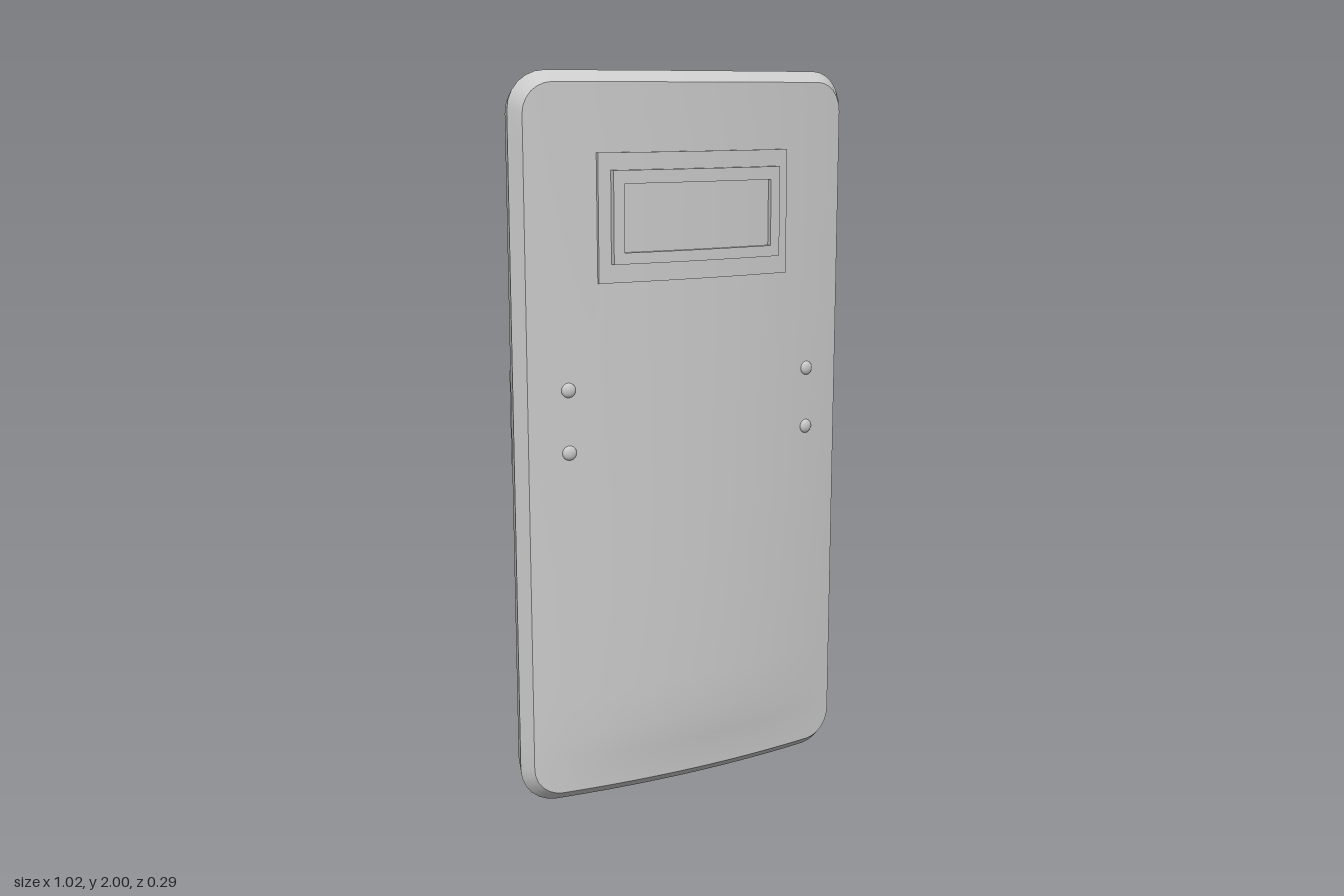
import * as THREE from 'three';
import { toCreasedNormals } from 'three/addons/utils/BufferGeometryUtils.js';

const CURVE = 0.17; // how strongly everything wraps around the vertical axis
const bend = (x, k = CURVE) => -k * x * x;

// Rounded rectangle as a counter-clockwise list of [x, y]; same count for every size
function loop(hw, y0, y1, r) {
  const corners = [[hw - r, y0 + r, -90], [hw - r, y1 - r, 0], [r - hw, y1 - r, 90], [r - hw, y0 + r, 180]];
  const arcs = corners.map(([cx, cy, start]) => Array.from({ length: 7 }, (_, i) => {
    const a = THREE.MathUtils.degToRad(start + i * 15);
    return [cx + r * Math.cos(a), cy + r * Math.sin(a)];
  }));
  const points = [];
  arcs.forEach((arc, c) => {
    points.push(...arc);
    const from = arc[6], to = arcs[(c + 1) % 4][0], n = c % 2 ? 16 : 20;
    for (let i = 1; i < n; i++) {
      points.push([THREE.MathUtils.lerp(from[0], to[0], i / n), THREE.MathUtils.lerp(from[1], to[1], i / n)]);
    }
  });
  return points;
}

// Skin over rings of [x, y, z]; the last ring joins the first
function loft(rings, crease = 0.45) {
  const n = rings[0].length, index = [];
  rings.forEach((_, j) => {
    const next = (j + 1) % rings.length;
    for (let i = 0; i < n; i++) {
      const k = (i + 1) % n;
      const a = j * n + i, b = j * n + k, c = next * n + k, d = next * n + i;
      index.push(a, b, c, a, c, d);
    }
  });
  const geometry = new THREE.BufferGeometry();
  geometry.setAttribute('position', new THREE.Float32BufferAttribute(rings.flat(2), 3));
  geometry.setIndex(index);
  return toCreasedNormals(geometry, crease);
}

const atDepth = (points, z) => points.map(([x, y]) => [x, y, z + bend(x)]);
const mix = (a, b, t) => a.map((p, i) => [p[0] + (b[i][0] - p[0]) * t, p[1] + (b[i][1] - p[1]) * t]);

// Front face swells slightly, most of all near the bottom
function frontZ(x, y) {
  const swell = y < 0.22
    ? THREE.MathUtils.smoothstep(y, 0.03, 0.22)
    : 1 - THREE.MathUtils.smoothstep(y, 0.22, 1.95);
  return 0.115 + bend(x) + 0.018 * swell * Math.max(0, 1 - (x / 0.485) ** 2);
}

function bodyGeometry() {
  const hole = loop(0.275, 1.46, 1.78, 0);
  const back = loop(0.49, 0.01, 1.99, 0.1);
  const middle = loop(0.51, 0, 2, 0.1);
  const front = loop(0.485, 0.03, 1.97, 0.08);
  const steps = [0, 0.03, 0.07, 0.12, 0.2, 0.35, 0.55, 0.8, 1];
  return loft([
    ...[...steps].reverse().map((t) => atDepth(mix(back, hole, t), 0.015)),
    atDepth(middle, 0.08),
    ...steps.map((t) => mix(front, hole, t).map(([x, y]) => [x, y, frontZ(x, y)])),
  ]);
}

// Curved rectangular frame between two depths
function frameGeometry(outer, inner, z0, z1) {
  const o = loop(...outer, 0), i = loop(...inner, 0);
  return loft([atDepth(i, z0), atDepth(o, z0), atDepth(o, z1), atDepth(i, z1)]);
}

// Curved flat plate
function plateGeometry(hw, y0, y1, z0, z1, k) {
  const geometry = new THREE.BoxGeometry(hw * 2, y1 - y0, z1 - z0, 24, 1, 1);
  geometry.translate(0, (y0 + y1) / 2, (z0 + z1) / 2);
  const p = geometry.attributes.position;
  for (let i = 0; i < p.count; i++) p.setZ(i, p.getZ(i) + bend(p.getX(i), k));
  geometry.computeVertexNormals();
  return geometry;
}

// Thin band following a side profile of [z, y], spread along x
function strapGeometry(profile, width, thickness) {
  const curve = new THREE.SplineCurve(profile.map(([z, y]) => new THREE.Vector2(z, y)));
  const outer = [], inner = [];
  for (let i = 0; i <= 40; i++) {
    const p = curve.getPointAt(i / 40), t = curve.getTangentAt(i / 40);
    const offset = new THREE.Vector2(-t.y, t.x).multiplyScalar(thickness / 2);
    outer.push(p.clone().add(offset));
    inner.push(p.clone().sub(offset));
  }
  const shape = new THREE.Shape([...outer, ...inner.reverse()]);
  const geometry = new THREE.ExtrudeGeometry(shape, { depth: width, bevelEnabled: false });
  return toCreasedNormals(geometry.rotateY(-Math.PI / 2), 0.7);
}

export function createModel() {
  const group = new THREE.Group();
  const material = new THREE.MeshStandardMaterial({ color: 0xcccccc });
  const add = (name, geometry) => {
    const mesh = new THREE.Mesh(geometry, material);
    mesh.name = name;
    group.add(mesh);
    return mesh;
  };

  add('shieldBody', bodyGeometry());

  // Viewing window
  add('windowFrame', frameGeometry([0.29, 1.45, 1.79], [0.25, 1.505, 1.74], 0.1, 0.125));
  add('windowRim', frameGeometry([0.255, 1.5, 1.745], [0.225, 1.53, 1.71], 0.115, 0.142));
  add('windowPane', plateGeometry(0.235, 1.52, 1.72, 0.118, 0.128, CURVE));

  // Rivets
  for (const side of [-1, 1]) {
    for (const y of [1.0, 1.17]) {
      const rivet = add('rivet', new THREE.SphereGeometry(0.02, 16, 10));
      rivet.scale.z = 0.5;
      rivet.position.set(side * 0.375, y, frontZ(0.375, y));
      rivet.rotation.y = side * 0.13;
    }
  }

  // Mounting plate across the back
  add('backPlate', plateGeometry(0.48, 0.95, 1.21, -0.009, 0.006, 0.2));

  // Grip: a bent bar, leaning slightly inward
  const gripPoints = [[-0.015, 1.172], [-0.095, 1.172], [-0.112, 1.166], [-0.127, 1.138],
    [-0.127, 1.022], [-0.112, 0.994], [-0.095, 0.988], [-0.015, 0.988]];
  const gripPath = new THREE.CatmullRomCurve3(
    gripPoints.map(([z, y]) => new THREE.Vector3(-0.232 - z * 0.1, y, z)), false, 'catmullrom', 0.2);
  add('gripHandle', new THREE.TubeGeometry(gripPath, 64, 0.018, 14));

  // Forearm strap: a loose loop hanging below the plate
  const strap = add('armStrap', strapGeometry([[-0.02, 1.19], [-0.05, 1.175], [-0.078, 1.08], [-0.094, 0.97],
    [-0.096, 0.88], [-0.085, 0.848], [-0.068, 0.875], [-0.045, 0.94], [-0.02, 0.965]], 0.075, 0.008));
  strap.position.x = 0.265;

  return group;
}
